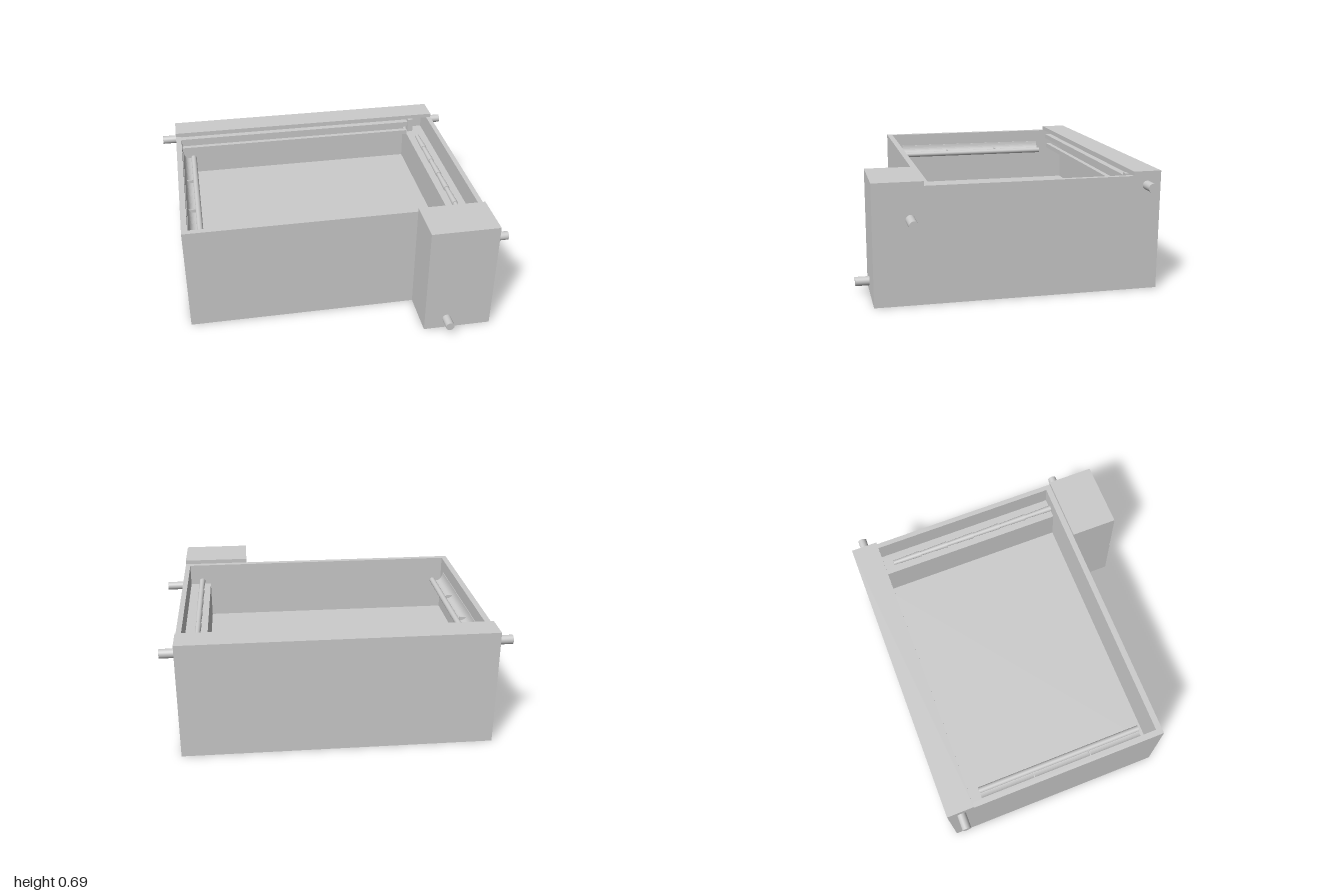
import * as THREE from 'three';

const material = new THREE.MeshStandardMaterial({ color: 0xcccccc });

export function createModel() {
  const model = new THREE.Group();

  const add = (name, geometry) => {
    const mesh = new THREE.Mesh(geometry, material);
    mesh.name = name;
    model.add(mesh);
    return mesh;
  };
  // Box from its minimum and maximum corners
  const box = (name, [x0, y0, z0], [x1, y1, z1]) =>
    add(name, new THREE.BoxGeometry(x1 - x0, y1 - y0, z1 - z0))
      .position.set((x0 + x1) / 2, (y0 + y1) / 2, (z0 + z1) / 2);
  // Round bar between two points
  const rod = (name, a, b, r0, r1 = r0) => {
    const from = new THREE.Vector3(...a), to = new THREE.Vector3(...b);
    const mesh = add(name, new THREE.CylinderGeometry(r1, r0, from.distanceTo(to), 24));
    mesh.position.copy(from).add(to).multiplyScalar(0.5);
    mesh.quaternion.setFromUnitVectors(new THREE.Vector3(0, 1, 0), to.sub(from).normalize());
  };

  // Tank: raised floor and four walls, open at the top
  const floorY = 0.305, rim = 0.66;
  box('tankBase', [-0.91, 0, -0.85], [0.865, floorY, 0.485]);
  box('leftOuterWall', [0.835, floorY, -0.85], [0.865, rim, 0.485]);
  box('rightOuterWall', [-0.91, floorY, -0.85], [-0.875, rim, 0.485]);
  box('frontWall', [-0.875, floorY, 0.45], [0.835, rim, 0.485]);
  box('backWall', [-0.875, floorY, -0.85], [0.835, rim, -0.82]);

  // Cover strip along the back, and the pump housing at the front corner
  box('backCover', [-0.91, rim, -0.85], [0.865, 0.685, -0.69]);
  box('pumpHousing', [0.46, 0, 0.485], [0.865, 0.685, 0.765]);

  // Pipe stubs
  rod('rightBackPipe', [-1, 0.605, -0.77], [-0.9, 0.605, -0.77], 0.026);
  rod('leftBackPipe', [0.86, 0.605, -0.77], [0.95, 0.605, -0.77], 0.026);
  rod('housingSidePipe', [0.86, 0.48, 0.56], [1, 0.48, 0.56], 0.026);
  rod('housingFrontPipe', [0.595, 0.067, 0.76], [0.595, 0.067, 0.845], 0.026);

  // Rails below the back cover with an end bracket
  box('upperRail', [-0.875, 0.6, -0.74], [0.72, 0.63, -0.7]);
  box('lowerRail', [-0.875, 0.53, -0.74], [0.705, 0.56, -0.71]);
  box('railBracket', [0.705, 0.56, -0.74], [0.74, 0.65, -0.69]);

  // Curved gutter on the right wall with a rounded lip and dividers
  const gutter = new THREE.Shape();
  gutter.moveTo(-0.876, 0.5);
  gutter.lineTo(-0.81, 0.5);
  gutter.lineTo(-0.81, 0.525);
  gutter.quadraticCurveTo(-0.865, 0.515, -0.872, 0.58);
  gutter.lineTo(-0.876, 0.58);
  gutter.closePath();
  add('gutter', new THREE.ExtrudeGeometry(gutter, { depth: 1.01, bevelEnabled: false, curveSegments: 12 }))
    .position.z = -0.63;
  rod('gutterLip', [-0.803, 0.525, -0.63], [-0.803, 0.525, 0.385], 0.018);
  for (const z of [-0.3, 0.055]) box('gutterDivider', [-0.875, 0.51, z - 0.003], [-0.82, 0.545, z + 0.003]);

  // Ledge along the left wall carrying a segmented, slightly tapered tube
  box('leftLedge', [0.705, floorY, -0.82], [0.835, 0.53, 0.45]);
  for (let i = 0; i < 6; i++) {
    const z = -0.63 + i * 0.18;
    rod('tubeSegment', [0.76, 0.548, z], [0.76, 0.548, z + 0.18], 0.014, 0.019);
  }
  return model;
}
